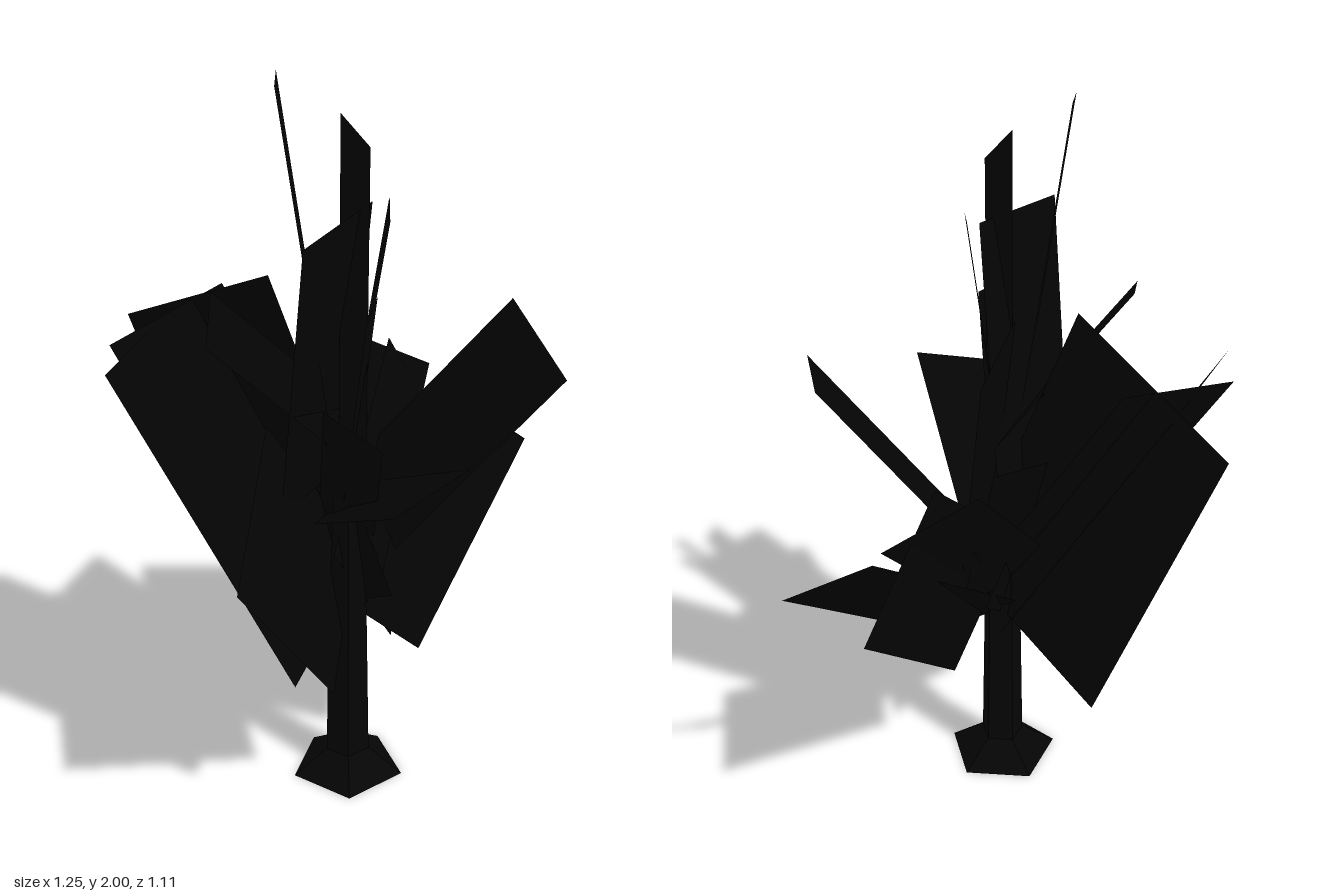
import * as THREE from 'three';

export function createModel() {
  const tree = new THREE.Group();
  tree.name = 'tree';
  const bark = new THREE.MeshStandardMaterial({ name: 'darkBark', color: 0x050505, flatShading: true });
  const leaf = new THREE.MeshStandardMaterial({ name: 'darkFoliage', color: 0x040404, side: THREE.DoubleSide });

  // Five-sided trunk: flared foot, then stacked tapering sections
  const trunk = new THREE.Group();
  trunk.name = 'trunk';
  const rings = [[0, 0.158], [0.07, 0.062], [0.5, 0.054], [0.9, 0.038], [1.3, 0.012]];
  for (let i = 0; i < rings.length - 1; i++) {
    const [y0, r0] = rings[i], [y1, r1] = rings[i + 1];
    const geo = new THREE.CylinderGeometry(r1, r0, y1 - y0, 5, 1, i > 0 && i < rings.length - 2, Math.PI / 5);
    const part = new THREE.Mesh(geo, bark);
    part.name = i ? 'trunkSection' : 'rootFlare';
    part.position.set(-0.06, (y0 + y1) / 2, 0.095);
    trunk.add(part);
  }
  tree.add(trunk);

  // Flat branch card: outer edge a-b, swept inward until its middle meets root
  function card(name, a, b, root) {
    const A = new THREE.Vector3(...a), B = new THREE.Vector3(...b);
    const sweep = new THREE.Vector3(...root).sub(A.clone().lerp(B, 0.5));
    const pts = [A, B, B.clone().add(sweep), A.clone().add(sweep)];
    const geo = new THREE.BufferGeometry().setFromPoints(pts);
    geo.setIndex([0, 1, 2, 0, 2, 3]);
    geo.computeVertexNormals();
    const mesh = new THREE.Mesh(geo, leaf);
    mesh.name = name;
    tree.add(mesh);
  }

  // Crown
  card('leaderBranch', [-0.27, 1.99, 0.09], [-0.2, 2.0, 0.0], [-0.14, 1.1, 0.13]);
  card('topTwig', [-0.11, 1.91, 0.13], [-0.06, 1.83, 0.18], [-0.08, 1.0, 0.14]);
  card('topSideTwig', [0.0, 1.7, 0.18], [-0.03, 1.65, 0.22], [-0.06, 1.0, 0.09]);
  card('crownFrontBranch', [-0.32, 1.655, 0.26], [-0.02, 1.68, 0.14], [-0.145, 0.9, 0.06]);
  card('crownBackBranch', [-0.03, 1.475, -0.02], [0.175, 1.415, -0.2], [0.04, 0.82, 0.05]);

  // Back
  card('backBranch', [-0.315, 1.24, -0.55], [-0.13, 0.37, -0.27], [-0.1, 1.035, 0.08]);
  card('backRightBranch', [-0.525, 1.29, -0.29], [-0.155, 1.36, -0.325], [-0.12, 0.6, 0.09]);
  card('backInnerBranch', [-0.05, 1.12, -0.15], [0.14, 1.16, -0.2], [0.0, 0.6, 0.07]);

  // Left (+x)
  card('leftTipBranch', [0.625, 0.81, 0.05], [0.455, 0.97, -0.14], [0.0, 0.48, 0.13]);
  card('leftFrontBranch', [0.315, 1.24, 0.5], [0.45, 1.32, 0.155], [0.05, 0.8, 0.07]);
  card('leftLowBranch', [0.52, 0.78, -0.205], [0.285, 1.145, -0.16], [-0.012, 0.543, 0.103]);
  card('leftBackBranch', [0.445, 1.02, -0.17], [0.215, 1.15, -0.255], [-0.05, 0.65, 0.05]);

  // Right (-x)
  card('rightBroadBranch', [-0.63, 1.29, -0.135], [-0.24, 1.3, -0.41], [-0.17, 0.49, 0.13]);
  card('rightUpperBranch', [-0.505, 1.415, 0.125], [-0.375, 1.475, -0.045], [-0.05, 1.04, 0.12]);
  card('rightLowBranch', [-0.59, 0.88, 0.35], [-0.32, 1.15, 0.1], [-0.065, 0.5, 0.09]);

  // Front
  card('frontBranch', [-0.27, 1.06, 0.535], [-0.05, 1.13, 0.555], [-0.03, 0.82, 0.05]);
  card('frontUpperTwig', [-0.15, 1.43, 0.28], [-0.05, 1.46, 0.2], [-0.06, 0.9, 0.1]);
  card('frontRightTwig', [-0.25, 1.22, 0.24], [-0.185, 1.15, 0.39], [-0.06, 0.8, 0.09]);

  return tree;
}
